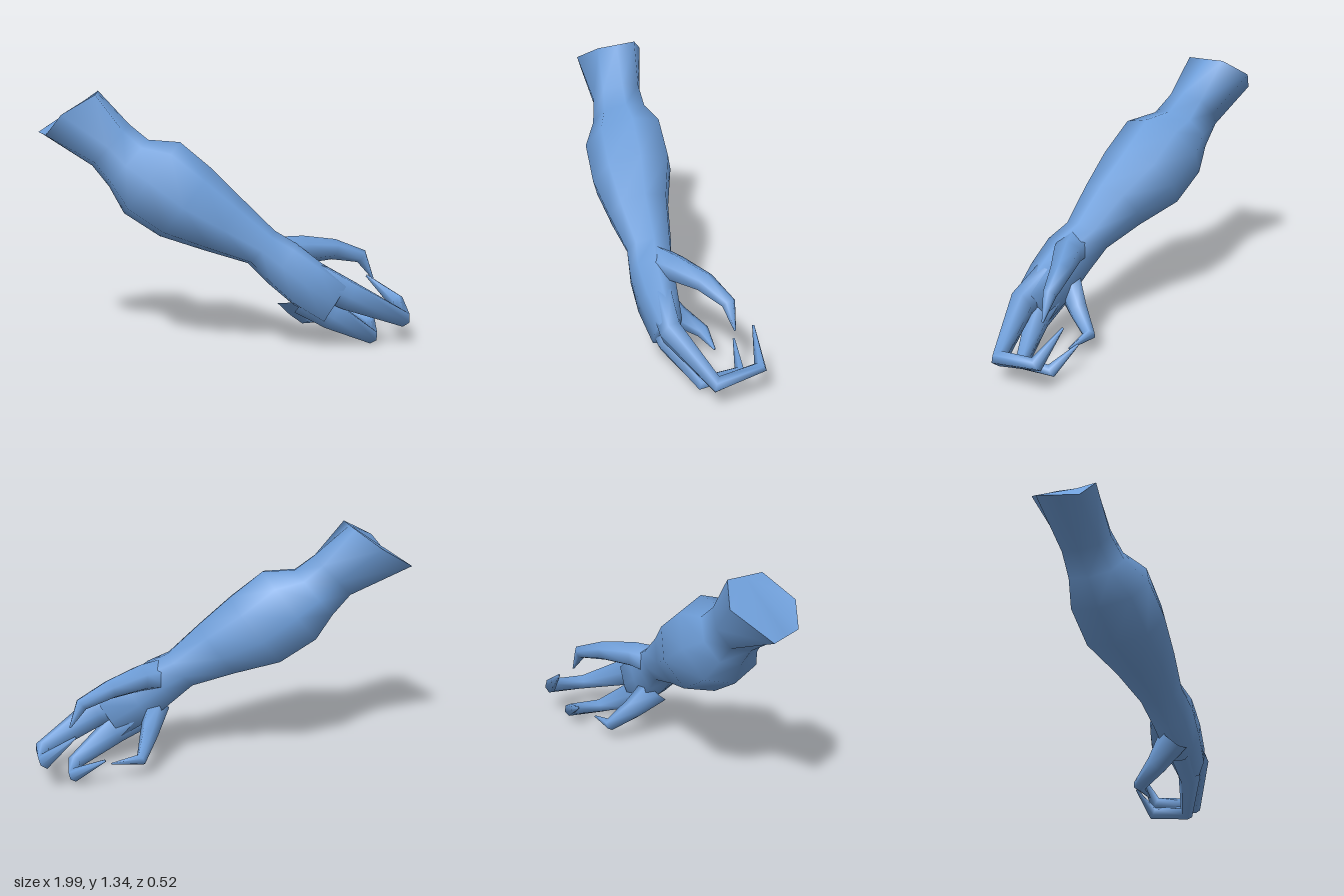
import * as THREE from 'three';

const V = (x, y, z) => new THREE.Vector3(x, y, z);

// Skin a series of equal-sized rings; the far end closes on its centre.
function loft(rings) {
  const n = rings[0].length, pos = [], idx = [];
  rings.forEach(r => r.forEach(p => pos.push(p.x, p.y, p.z)));
  for (let i = 0; i < rings.length - 1; i++) {
    for (let j = 0; j < n; j++) {
      const k = (j + 1) % n, a = i * n + j, b = i * n + k;
      idx.push(a, b, b + n, a, b + n, a + n);
    }
  }
  const last = (rings.length - 1) * n, end = V(0, 0, 0);
  rings[rings.length - 1].forEach(p => end.addScaledVector(p, 1 / n));
  pos.push(end.x, end.y, end.z);
  for (let j = 0; j < n; j++) idx.push(last + j, last + (j + 1) % n, last + n);
  return finish(pos, idx);
}

function finish(pos, idx) {
  const g = new THREE.BufferGeometry();
  g.setAttribute('position', new THREE.Float32BufferAttribute(pos, 3));
  g.setIndex(idx);
  g.computeVertexNormals();
  return g;
}

// Arm section: upper edge, lower edge, back and front depth; full gives boxiness.
function armRing([tx, ty, bx, by, zBack, zFront, full = 0.75]) {
  const pts = [];
  for (let j = 0; j < 8; j++) {
    const t = j * Math.PI / 4, s = j % 2 ? full / Math.SQRT1_2 : 1;
    const u = Math.cos(t) * s / 2, w = Math.sin(t) * s / 2;
    pts.push(V((tx + bx) / 2 + (tx - bx) * u, (ty + by) / 2 + (ty - by) * u,
      (zBack + zFront) / 2 + (zFront - zBack) * w));
  }
  return pts;
}

// Digit: stations of [x, y, z, half width, half thickness], bent about the side axis.
function digit(stations, side) {
  const c = stations.map(s => V(s[0], s[1], s[2]));
  const rings = stations.map((s, i) => {
    const d0 = c[i].clone().sub(c[Math.max(i - 1, 0)]).normalize();
    const d1 = c[Math.min(i + 1, c.length - 1)].clone().sub(c[i]).normalize();
    const t = d0.clone().add(d1).normalize();
    const a = side.clone().addScaledVector(t, -side.dot(t)).normalize();
    const b = t.clone().cross(a);
    const inner = i > 0 && i < c.length - 1;
    const miter = inner ? Math.min(1.4, 1 / Math.max(0.3, t.dot(d1))) : 1;
    const pts = [];
    for (let j = 0; j < 6; j++) {
      const q = (j + 0.5) * Math.PI / 3;
      pts.push(c[i].clone().addScaledVector(a, Math.cos(q) * s[3] * 1.1)
        .addScaledVector(b, Math.sin(q) * s[4] * miter));
    }
    return pts;
  });
  return loft(rings);
}

export function createModel() {
  const group = new THREE.Group();
  const skin = new THREE.MeshStandardMaterial({ color: 0x6f9fda });
  skin.name = 'blue skin';
  const add = (name, geo) => {
    const m = new THREE.Mesh(geo, skin);
    m.name = name;
    group.add(m);
  };

  // Cut end near the elbow
  const cut = [
    V(-0.675, 1.335, -0.05), V(-0.67, 1.33, 0.06), V(-0.84, 1.23, 0.13), V(-0.93, 1.12, 0.08),
    V(-0.965, 1.12, -0.02), V(-1, 1.12, -0.12), V(-0.81, 1.25, -0.235), V(-0.68, 1.34, -0.155),
  ];

  // Forearm, wrist and palm
  const sections = [
    [-0.5, 1.17, -0.7, 0.95, -0.155, 0.115],
    [-0.4, 1.09, -0.61, 0.84, -0.16, 0.15],
    [-0.23, 1.08, -0.53, 0.7, -0.2, 0.235],
    [-0.06, 0.94, -0.34, 0.58, -0.19, 0.255],
    [0.1, 0.785, -0.1, 0.51, -0.1, 0.235],
    [0.27, 0.62, 0.13, 0.445, -0.04, 0.205],
    [0.38, 0.56, 0.24, 0.34, 0, 0.228, 0.8],
    [0.51, 0.46, 0.36, 0.24, 0.03, 0.22, 0.85],
    [0.65, 0.355, 0.52, 0.14, 0.06, 0.195, 0.85],
  ];
  add('forearm and palm', loft([cut, ...sections.map(armRing)]));

  // Flat cap on the cut end
  const capPos = [], capIdx = [];
  cut.forEach(p => capPos.push(p.x, p.y, p.z));
  for (let j = 1; j < 7; j++) capIdx.push(0, j + 1, j);
  add('cut end cap', finish(capPos, capIdx));

  // Curled digits
  add('indexFinger', digit([
    [0.48, 0.37, 0.12, 0.09, 0.07],
    [0.66, 0.285, 0.135, 0.078, 0.06],
    [0.96, 0.135, 0.01, 0.042, 0.036],
    [0.95, 0.175, -0.225, 0.04, 0.028],
    [0.785, 0.315, -0.255, 0.006, 0.006],
  ], V(0.47, 0.88, 0)));
  add('middleFinger', digit([
    [0.42, 0.27, 0.12, 0.09, 0.07],
    [0.57, 0.175, 0.115, 0.075, 0.06],
    [0.79, 0.04, 0.02, 0.038, 0.034],
    [0.8, 0.065, -0.185, 0.034, 0.026],
    [0.635, 0.155, -0.22, 0.006, 0.006],
  ], V(0.55, 0.83, 0)));
  add('littleFinger', digit([
    [0.33, 0.31, 0.11, 0.085, 0.07],
    [0.385, 0.195, -0.01, 0.055, 0.05],
    [0.44, 0.105, -0.13, 0.034, 0.028],
    [0.6, 0.09, -0.13, 0.005, 0.005],
  ], V(0.12, 0.8, -0.58)));
  add('thumb', digit([
    [0.3, 0.5, 0.09, 0.08, 0.09],
    [0.42, 0.51, 0.03, 0.07, 0.075],
    [0.59, 0.495, -0.07, 0.05, 0.055],
    [0.745, 0.445, -0.135, 0.032, 0.036],
    [0.81, 0.322, -0.145, 0.005, 0.005],
  ], V(0.5, 0, 0.87)));

  return group;
}
